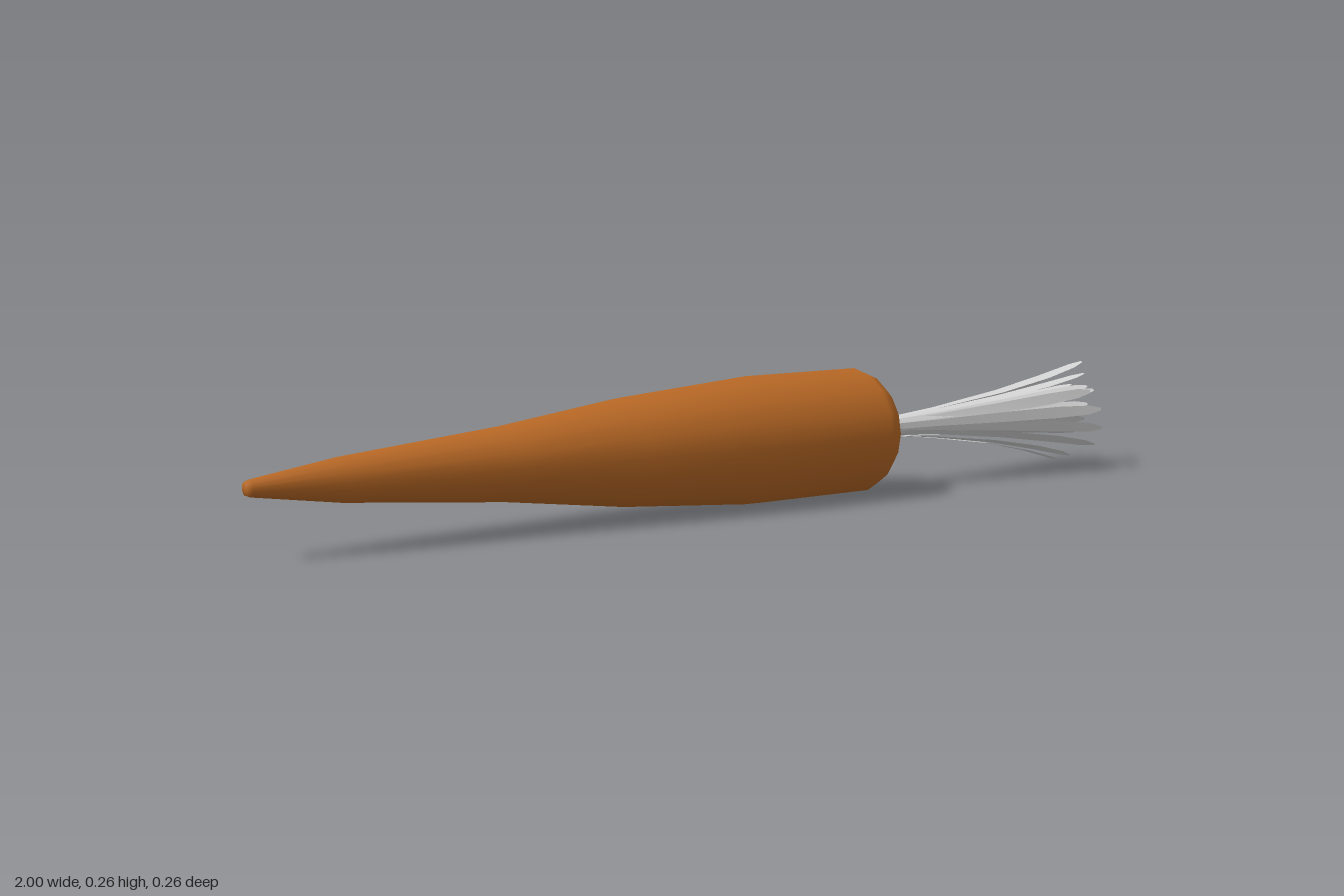
import * as THREE from 'three';

const AXIS_Y = 0.132;

// Outer leaf tips as [z, y] offsets from the root's axis
const OUTER_TIPS = [
  [0.005, 0.108], [0.036, 0.085], [0.08, 0.05], [0.098, 0.01], [0.092, -0.034],
  [0.076, -0.073], [0.01, -0.104], [-0.03, -0.12], [-0.107, -0.045],
  [-0.104, 0.005], [-0.09, 0.035], [-0.07, 0.07], [0.052, 0.058],
];

// Leaf rows: [fraction of length, half width]
const LEAF_ROWS = [[0, 0.005], [0.3, 0.007], [0.6, 0.011], [0.82, 0.0125], [0.95, 0.01], [1, 0.003]];

function seeded(seed) {
  return () => {
    seed = (seed * 16807) % 2147483647;
    return seed / 2147483647;
  };
}

// One flat-sided strip that flares outwards from the crown to its tip
function leafGeometry(tipZ, tipY, tipX, twist, baseR) {
  const angle = Math.atan2(tipY, tipZ);
  const reach = Math.hypot(tipZ, tipY);
  const positions = [];
  const index = [];
  LEAF_ROWS.forEach(([t, half], i) => {
    const r = baseR + (reach - baseR) * (0.6 * t + 0.4 * t * t * t);
    const x = 0.375 + (tipX - 0.375) * t;
    const side = angle + Math.PI / 2 + twist * t;
    for (const s of [-1, 1]) {
      positions.push(x,
        Math.sin(angle) * r + Math.sin(side) * half * s,
        Math.cos(angle) * r + Math.cos(side) * half * s);
    }
    if (i) {
      const a = 2 * (i - 1);
      index.push(a, a + 1, a + 2, a + 1, a + 3, a + 2);
    }
  });
  const geometry = new THREE.BufferGeometry();
  geometry.setAttribute('position', new THREE.Float32BufferAttribute(positions, 3));
  geometry.setIndex(index);
  geometry.computeVertexNormals();
  return geometry;
}

export function createModel() {
  const group = new THREE.Group();
  group.name = 'carrot';
  const orange = new THREE.MeshStandardMaterial({ color: 0xb86825 });
  orange.name = 'carrot orange';
  const grey = new THREE.MeshStandardMaterial({ color: 0xd4d4d4, side: THREE.DoubleSide });
  grey.name = 'leaf grey';

  // Tapered root, turned about x, with a rounded shoulder and dimpled crown
  const profile = [
    [0, -1], [0.012, -1], [0.016, -0.99], [0.042, -0.82], [0.073, -0.49], [0.108, -0.23],
    [0.131, 0.06], [0.131, 0.34], [0.121, 0.364], [0.104, 0.383], [0.078, 0.394],
    [0.045, 0.394], [0.022, 0.385], [0, 0.375],
  ].map(([r, x]) => new THREE.Vector2(r, x));
  const root = new THREE.Mesh(new THREE.LatheGeometry(profile, 16).rotateZ(-Math.PI / 2), orange);
  root.name = 'root';
  root.position.y = AXIS_Y;
  group.add(root);

  // Tuft of leaves: the outer ring plus shorter-reaching inner ones
  const random = seeded(71);
  const leaves = new THREE.Group();
  leaves.name = 'leaves';
  leaves.position.y = AXIS_Y;
  const tips = [...OUTER_TIPS];
  for (let i = 0; i < 18; i++) {
    const a = i * 2.4;
    const r = 0.022 + 0.055 * (i / 18) + 0.008 * random();
    tips.push([Math.cos(a) * r, Math.sin(a) * r]);
  }
  tips.forEach(([z, y], i) => {
    const tipX = i === 0 ? 0.998 : 0.95 + 0.038 * random();
    const twist = (random() - 0.5) * 0.9;
    const leaf = new THREE.Mesh(leafGeometry(z, y, tipX, twist, 0.006 + 0.01 * random()), grey);
    leaf.name = 'leaf';
    leaves.add(leaf);
  });
  group.add(leaves);
  return group;
}
